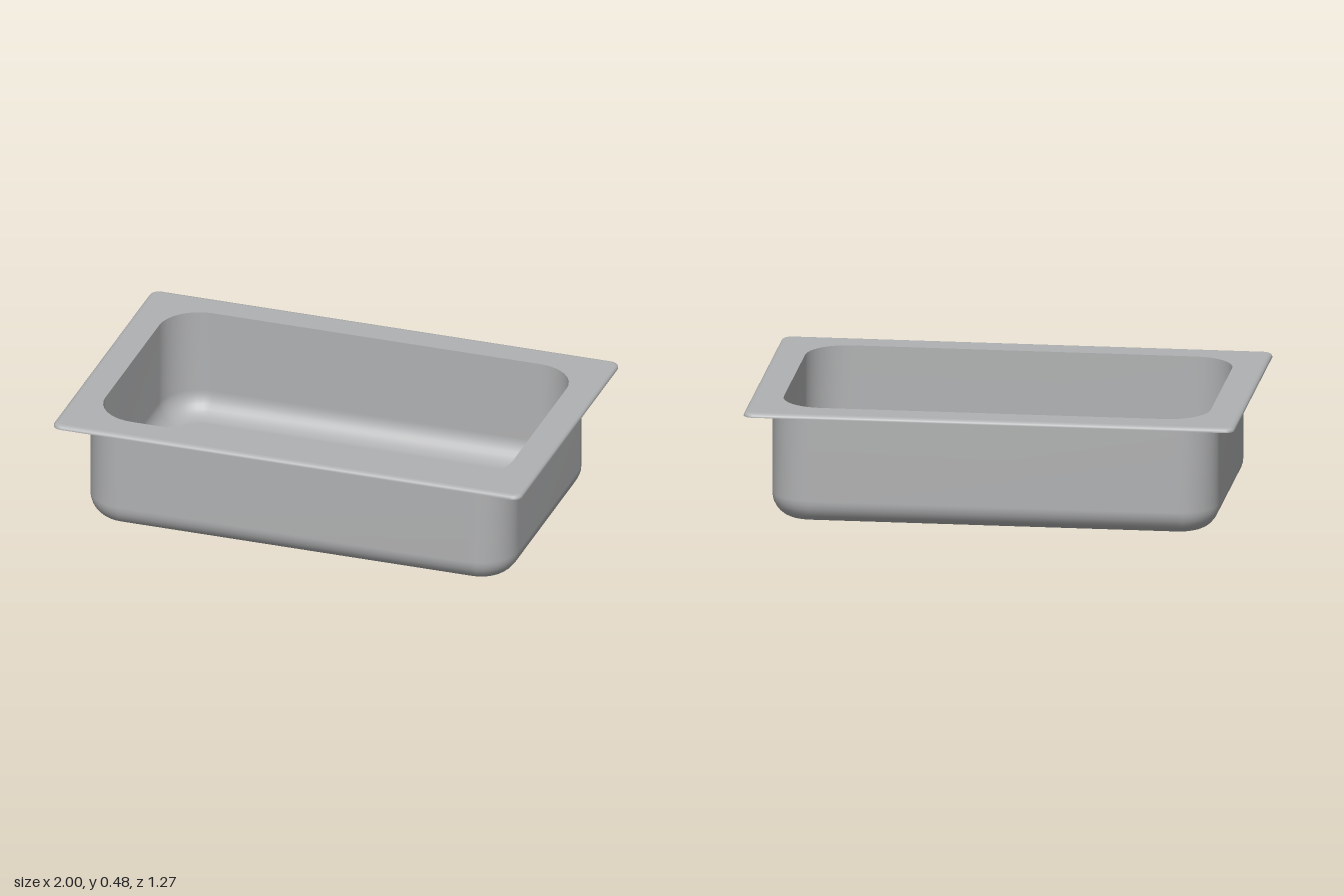
import * as THREE from 'three';

const CORNER_STEPS = 8;

// One rounded-rectangle ring: half width, half depth, corner radius, height
function ring([hx, hz, r, y]) {
  const points = [];
  for (let q = 0; q < 4; q++) {
    const sx = q === 0 || q === 3 ? 1 : -1;
    const sz = q < 2 ? 1 : -1;
    for (let i = 0; i <= CORNER_STEPS; i++) {
      const a = (q + i / CORNER_STEPS) * Math.PI / 2;
      points.push(sx * (hx - r) + r * Math.cos(a), y, sz * (hz - r) + r * Math.sin(a));
    }
  }
  return points;
}

// Smooth skin through a series of rings
function loft(name, sections, material) {
  const n = 4 * (CORNER_STEPS + 1);
  const index = [];
  for (let i = 0; i < sections.length - 1; i++) {
    for (let j = 0; j < n; j++) {
      const a = i * n + j, b = i * n + (j + 1) % n;
      index.push(a, a + n, b, b, a + n, b + n);
    }
  }
  const geometry = new THREE.BufferGeometry();
  geometry.setAttribute('position', new THREE.Float32BufferAttribute(sections.flatMap(ring), 3));
  geometry.setIndex(index);
  geometry.computeVertexNormals();
  const mesh = new THREE.Mesh(geometry, material);
  mesh.name = name;
  return mesh;
}

// Tub profile from the floor centre, round the bottom fillet, up to the top
function tub(hx, hz, r, fillet, floor, top) {
  const sections = [[0, 0, 0, floor]];
  for (let i = 0; i <= 8; i++) {
    const a = i / 8 * Math.PI / 2;
    const inset = fillet * (1 - Math.sin(a));
    sections.push([hx - inset, hz - inset, r - inset, floor + fillet * (1 - Math.cos(a))]);
  }
  sections.push([hx, hz, r, top]);
  return sections;
}

export function createModel() {
  const group = new THREE.Group();
  group.name = 'pan';
  const steel = new THREE.MeshStandardMaterial({ color: 0xb0b1b2 });
  steel.name = 'steel grey';

  const W = 1, D = 0.637, R = 0.04, under = 0.465, top = 0.482;

  // Outside of the pan
  group.add(loft('outerShell', tub(0.91, 0.542, 0.16, 0.1, 0, under), steel));

  // Flat underside of the flange
  group.add(loft('rimUnderside', [[0.91, 0.542, 0.16, under], [W, D, R, under]], steel));

  // Flange with a softly rounded outer edge, ending at the opening
  const edge = [[W, D, R, under]];
  for (let i = 0; i <= 5; i++) {
    const a = i / 5 * Math.PI / 2;
    const inset = 0.022 * (1 - Math.cos(a));
    edge.push([W - inset, D - inset, R - inset, under + 0.003 + (top - under - 0.003) * Math.sin(a)]);
  }
  edge.push([0.87, 0.508, 0.17, top]);
  group.add(loft('rim', edge, steel));

  // Inside of the pan
  group.add(loft('innerBasin', tub(0.87, 0.508, 0.17, 0.1, 0.03, top).reverse(), steel));

  return group;
}
